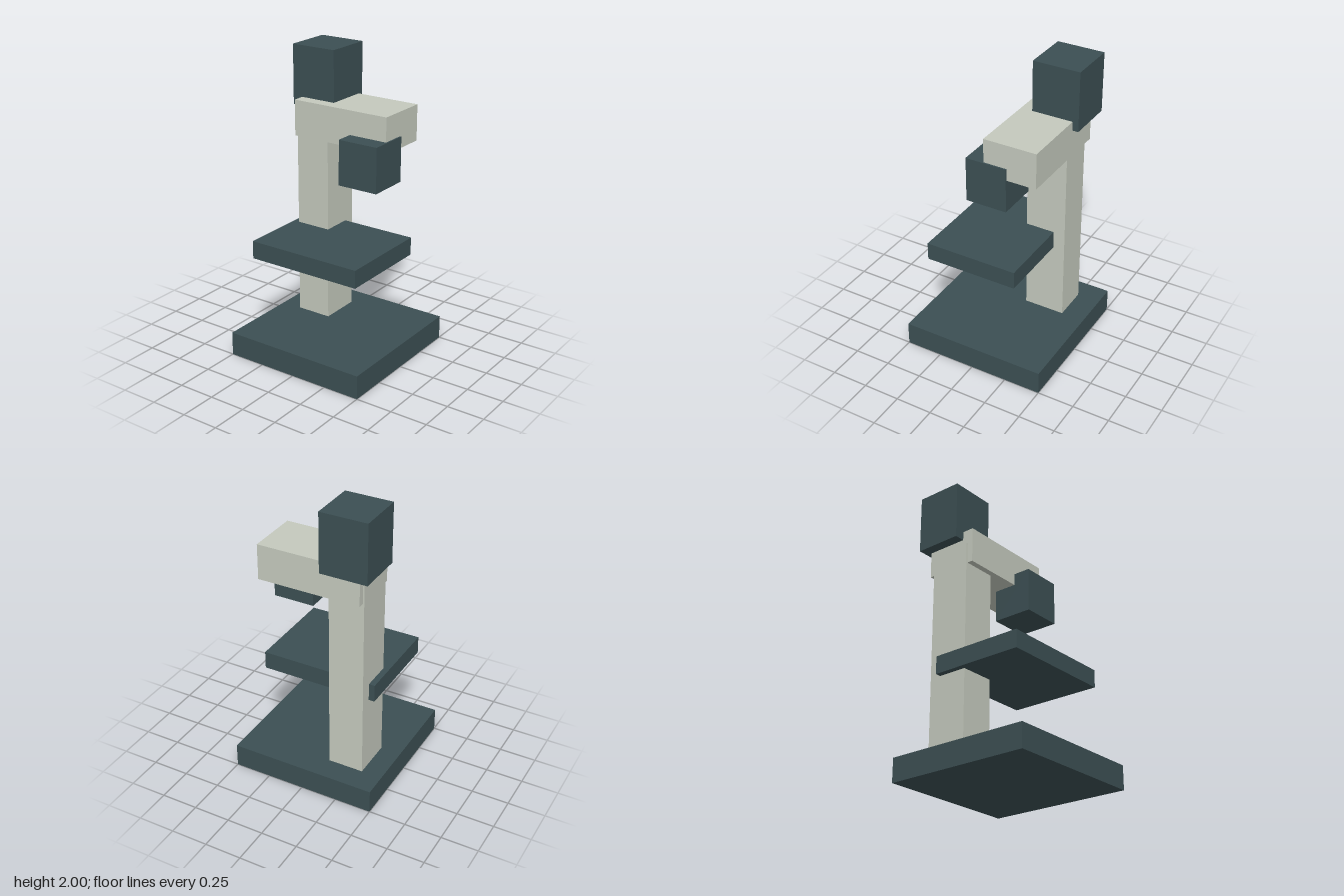
import * as THREE from 'three';

export function createModel() {
  const model = new THREE.Group();
  model.name = 'drillPress';

  const darkMetal = new THREE.MeshStandardMaterial({ color: 0x3c4f53 });
  darkMetal.name = 'dark slate metal';
  const paleMetal = new THREE.MeshStandardMaterial({ color: 0xc4c9bd });
  paleMetal.name = 'pale grey metal';

  // Adds a box spanning the given [min, max] range on each axis
  function addBox(name, material, x, y, z) {
    const size = [x, y, z].map(([min, max]) => max - min);
    const centre = [x, y, z].map(([min, max]) => (min + max) / 2);
    const mesh = new THREE.Mesh(new THREE.BoxGeometry(...size), material);
    mesh.name = name;
    mesh.position.set(...centre);
    model.add(mesh);
  }

  // Foot plate and upright
  addBox('base', darkMetal, [-0.5, 0.5], [0, 0.16], [-0.5, 0.5]);
  addBox('column', paleMetal, [-0.36, -0.12], [0.16, 1.56], [-0.34, -0.06]);

  // Work table around the column
  addBox('table', darkMetal, [-0.4, 0.4], [0.68, 0.8], [-0.26, 0.38]);

  // Overhead arm with motor on top and tool head in front
  addBox('arm', paleMetal, [-0.35, 0.35], [1.42, 1.66], [-0.38, -0.02]);
  addBox('motor', darkMetal, [-0.42, -0.1], [1.6, 2], [-0.42, -0.1]);
  addBox('toolHead', darkMetal, [0.08, 0.36], [1.2, 1.5], [-0.18, 0.1]);

  return model;
}
